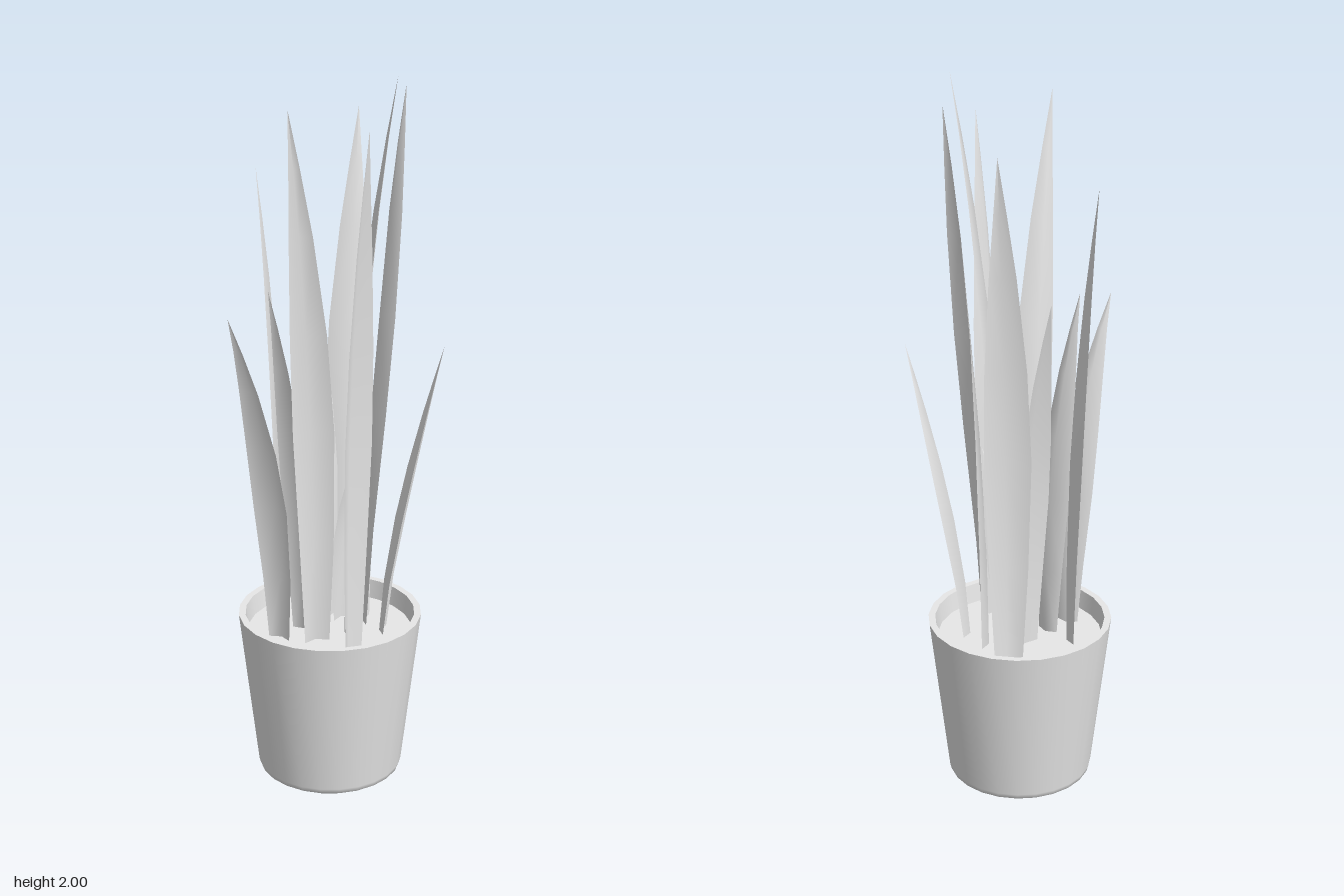
import * as THREE from 'three';

export function createModel() {
  const plant = new THREE.Group();
  plant.name = 'pottedPlant';
  const paleGrey = new THREE.MeshStandardMaterial({ color: 0xe7e7e7, side: THREE.DoubleSide });
  paleGrey.name = 'paleGrey';

  // Pot: separate lathe bands keep the rim corners sharp, the foot is rounded
  const pot = new THREE.Group();
  pot.name = 'pot';
  pot.position.set(0.012, 0, -0.013);
  const bands = {
    potWall: [[0, 0], [0.193, 0], [0.202, 0.006], [0.206, 0.02], [0.258, 0.48]],
    potRim: [[0.258, 0.48], [0.239, 0.48]],
    potInnerWall: [[0.239, 0.48], [0.232, 0.425]],
    soil: [[0.232, 0.425], [0, 0.425]],
  };
  for (const [name, profile] of Object.entries(bands)) {
    const points = profile.map(([r, y]) => new THREE.Vector2(r, y));
    const band = new THREE.Mesh(new THREE.LatheGeometry(points, 24), paleGrey);
    band.name = name;
    pot.add(band);
  }
  plant.add(pot);

  // Leaf rows: fraction of the height, fraction of the half width
  const rows = [[0, 0.6], [0.2, 0.84], [0.42, 1], [0.6, 0.88], [0.78, 0.56], [0.9, 0.26], [1, 0]];

  // A blade folded along its middle; the fold points away from the lean
  function leafGeometry(base, tip, across, halfWidth, fold, twist = 0, curve = 2.2) {
    const lean = new THREE.Vector2(tip[0] - base[0], tip[2] - base[1]);
    const start = new THREE.Vector2(...across).normalize();
    const flip = -start.y * lean.x + start.x * lean.y > 0 ? -1 : 1;
    const positions = [];
    const index = [];
    rows.forEach(([h, width], i) => {
      const y = 0.41 + h * (tip[1] - 0.41);
      const bend = h ** curve;
      const side = start.clone().rotateAround(new THREE.Vector2(), twist * h);
      for (const s of [-1, 0, 1]) {
        const w = s * halfWidth * width;
        const d = (s === 0 ? 0.5 : -0.5) * fold * width * flip;
        positions.push(base[0] + lean.x * bend + side.x * w - side.y * d, y,
          base[1] + lean.y * bend + side.y * w + side.x * d);
      }
      if (i === 0) return;
      for (const k of [0, 1]) {
        const a = (i - 1) * 3 + k;
        index.push(a, a + 1, a + 4, a, a + 4, a + 3);
      }
    });
    const geometry = new THREE.BufferGeometry();
    geometry.setAttribute('position', new THREE.Float32BufferAttribute(positions, 3));
    geometry.setIndex(index);
    geometry.computeVertexNormals();
    return geometry;
  }

  // Each leaf: base x z, tip x y z, direction across the blade, half width, fold depth, twist, curve
  const leaves = [
    [[-0.122, -0.085], [-0.27, 1.38, -0.13], [0.12, 1], 0.053, 0.022],
    [[-0.075, 0.006], [-0.21, 1.93, 0.025], [0.8, 0.55], 0.058, 0.028],
    [[-0.067, 0.12], [-0.1, 1.88, 0.195], [1, 0], 0.06, 0.03],
    [[-0.03, -0.15], [-0.045, 1.73, -0.215], [0.75, -0.6], 0.052, 0.025],
    [[0.017, 0.045], [0.027, 2, 0.19], [0.85, -0.55], 0.051, 0.025],
    [[0.058, -0.062], [0.145, 1.47, -0.19], [1, 0.12], 0.069, 0.022],
    [[0.113, 0.035], [0.185, 1.95, 0.105], [0.88, -0.47], 0.056, 0.028, -0.9, 1.5],
    [[0.16, -0.068], [0.27, 1.86, -0.11], [0.85, 0.75], 0.065, 0.025],
    [[0.088, 0.112], [0.14, 1.28, 0.27], [0.88, -0.45], 0.05, 0.025, 0, 1.4],
    [[-0.043, -0.068], [-0.11, 1.42, -0.125], [-0.1, 1], 0.05, 0.022],
    [[0.085, -0.025], [0.13, 1.03, 0.035], [1, 0.4], 0.05, 0.025],
  ];
  leaves.forEach((spec, i) => {
    const leaf = new THREE.Mesh(leafGeometry(...spec), paleGrey);
    leaf.name = `leaf${i + 1}`;
    plant.add(leaf);
  });

  return plant;
}
